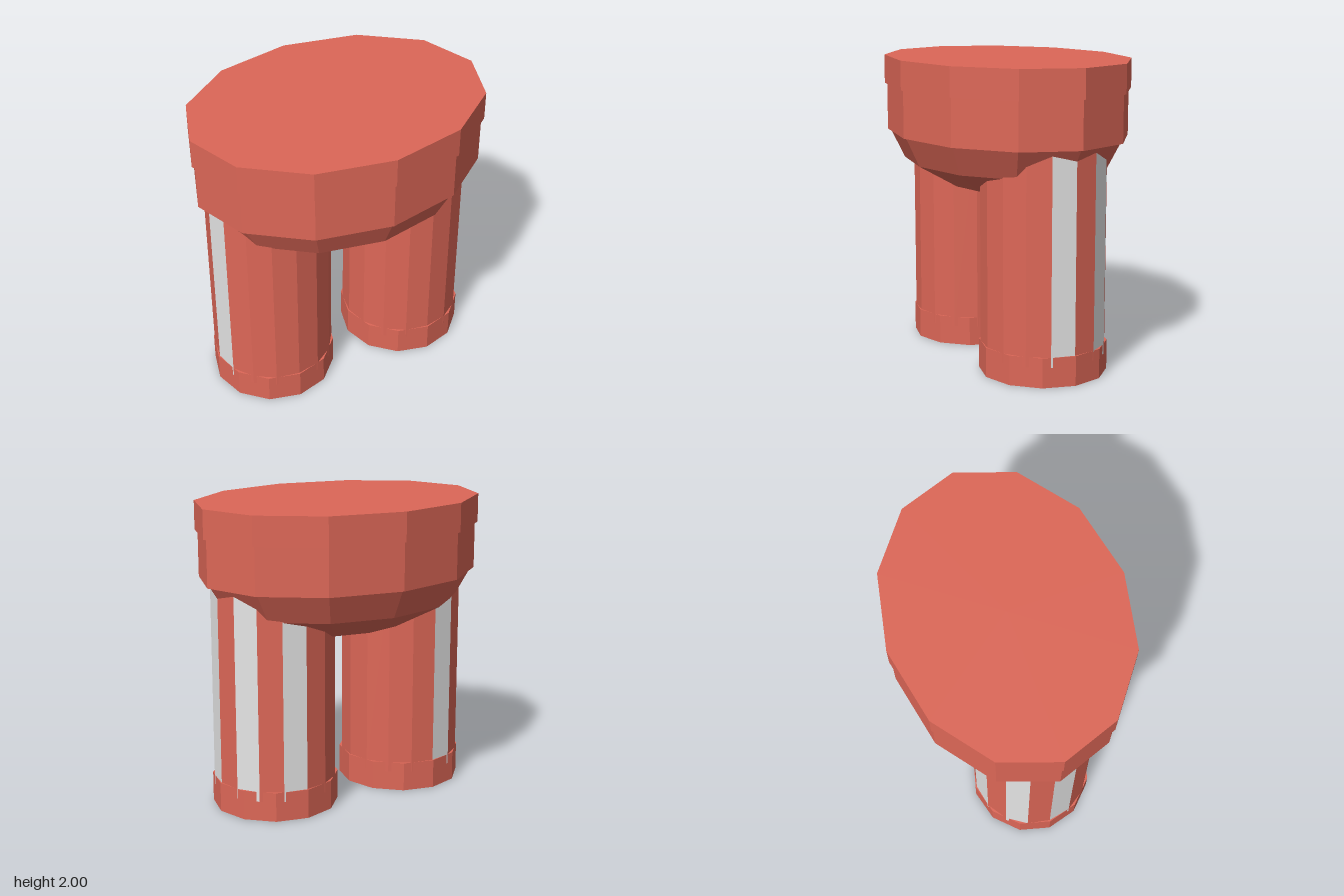
import * as THREE from 'three';

const red = new THREE.MeshStandardMaterial({ name: 'brick red', color: 0xdd6757, flatShading: true });
const white = new THREE.MeshStandardMaterial({ name: 'stripe white', color: 0xe5e5e5, flatShading: true });

const DEPTH = 0.76; // depth of the oval waist relative to its width

function add(parent, name, geometry, material, x = 0, y = 0) {
  const mesh = new THREE.Mesh(geometry, material);
  mesh.name = name;
  mesh.position.set(x, y, 0);
  parent.add(mesh);
  return mesh;
}

// Oval twelve-sided drum between two heights
function ovalDrum(radius, bottom, top) {
  return new THREE.CylinderGeometry(radius, radius, top - bottom, 12)
    .scale(1, 1, DEPTH)
    .translate(0, (top + bottom) / 2, 0);
}

// Sixteen-sided trouser leg whose chosen facets are white
function legGeometry(stripes, bottom, top) {
  const sides = 16;
  const g = new THREE.CylinderGeometry(0.407, 0.407, top - bottom, sides);
  g.translate(0, (top + bottom) / 2, 0);
  g.clearGroups();
  for (let i = 0; i < sides; i++) g.addGroup(i * 6, 6, stripes.includes(i) ? 1 : 0);
  g.addGroup(sides * 6, g.index.count - sides * 6, 0); // end caps
  return g;
}

export function createModel() {
  const model = new THREE.Group();
  model.name = 'trousers';

  // Waist
  add(model, 'waistband', ovalDrum(1, 1.81, 2), red);
  add(model, 'hips', ovalDrum(0.98, 1.5, 1.81), red);

  // Rounded seat: lower half of a coarse oval sphere
  const profile = [];
  for (let i = 0; i <= 3; i++) {
    const a = (i * Math.PI) / 6;
    profile.push(new THREE.Vector2(0.97 * Math.sin(a), 1.52 - 0.42 * Math.cos(a)));
  }
  add(model, 'seat', new THREE.LatheGeometry(profile, 12).scale(1, 1, DEPTH), red);

  // Legs with mirrored outer stripes
  const leftStripes = [3, 5, 7];
  for (const side of [1, -1]) {
    const leg = new THREE.Group();
    leg.name = side > 0 ? 'leftLeg' : 'rightLeg';
    leg.position.x = side * 0.505;
    model.add(leg);
    const stripes = side > 0 ? leftStripes : leftStripes.map((i) => 15 - i);
    add(leg, 'stripedLeg', legGeometry(stripes, 0.13, 1.5), [red, white]);
    add(leg, 'cuff', new THREE.CylinderGeometry(0.417, 0.417, 0.195, 12), red, 0, 0.0975);
  }
  return model;
}
